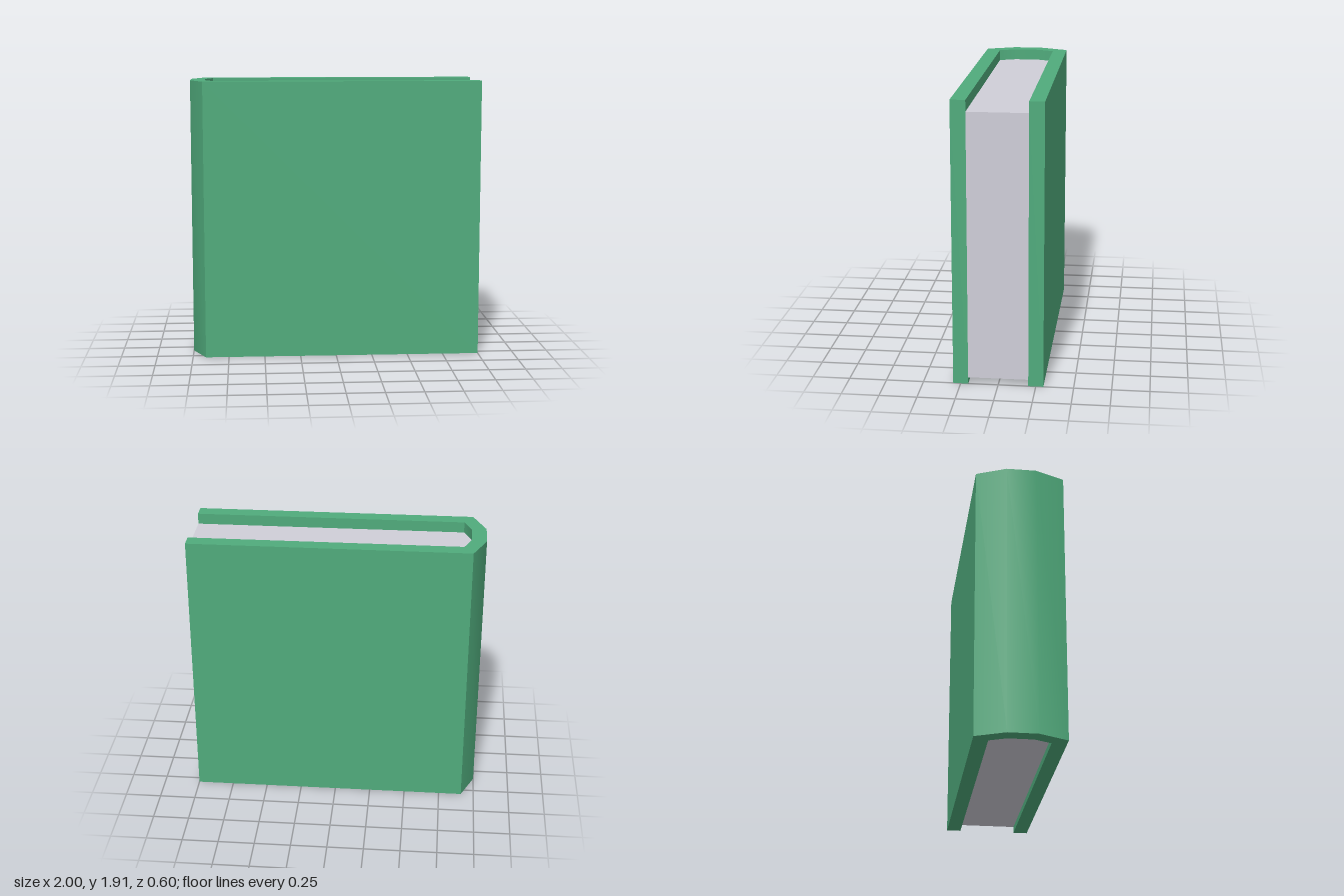
import * as THREE from 'three';
import { toCreasedNormals } from 'three/addons/utils/BufferGeometryUtils.js';

// Half outlines seen from above: fore edge to spine, as [x, z]
const OUTER = [[1, 0.3], [-0.91, 0.3], [-1, 0.1]];
const INNER = [[1, 0.2], [-0.85, 0.2], [-0.9, 0.085]];

// Complete a half outline by mirroring it across z = 0
const mirrored = (half) => [...half, ...half.map(([x, z]) => [x, -z]).reverse()];

// Raise an outline from y = bottom to y = top, smooth only round the spine
function prism(name, outline, bottom, top, material) {
  const shape = new THREE.Shape(outline.map(([x, z]) => new THREE.Vector2(x, z)));
  const geometry = new THREE.ExtrudeGeometry(shape, { depth: top - bottom, bevelEnabled: false });
  geometry.rotateX(-Math.PI / 2).translate(0, bottom, 0);
  const mesh = new THREE.Mesh(toCreasedNormals(geometry, 0.6), material);
  mesh.name = name;
  return mesh;
}

export function createModel() {
  const green = new THREE.MeshStandardMaterial({ color: 0x50ab7c });
  green.name = 'coverGreen';
  const paper = new THREE.MeshStandardMaterial({ color: 0xcfced8 });
  paper.name = 'paperGrey';

  const book = new THREE.Group();
  book.name = 'book';

  // Cover: two boards and a faceted spine in one U-shaped wall
  const coverOutline = [...mirrored(OUTER), ...mirrored(INNER).reverse()];
  book.add(prism('cover', coverOutline, 0, 1.915, green));

  // Page block, recessed at top and bottom and flush at the fore edge
  book.add(prism('pages', mirrored(INNER), 0.045, 1.84, paper));

  return book;
}
